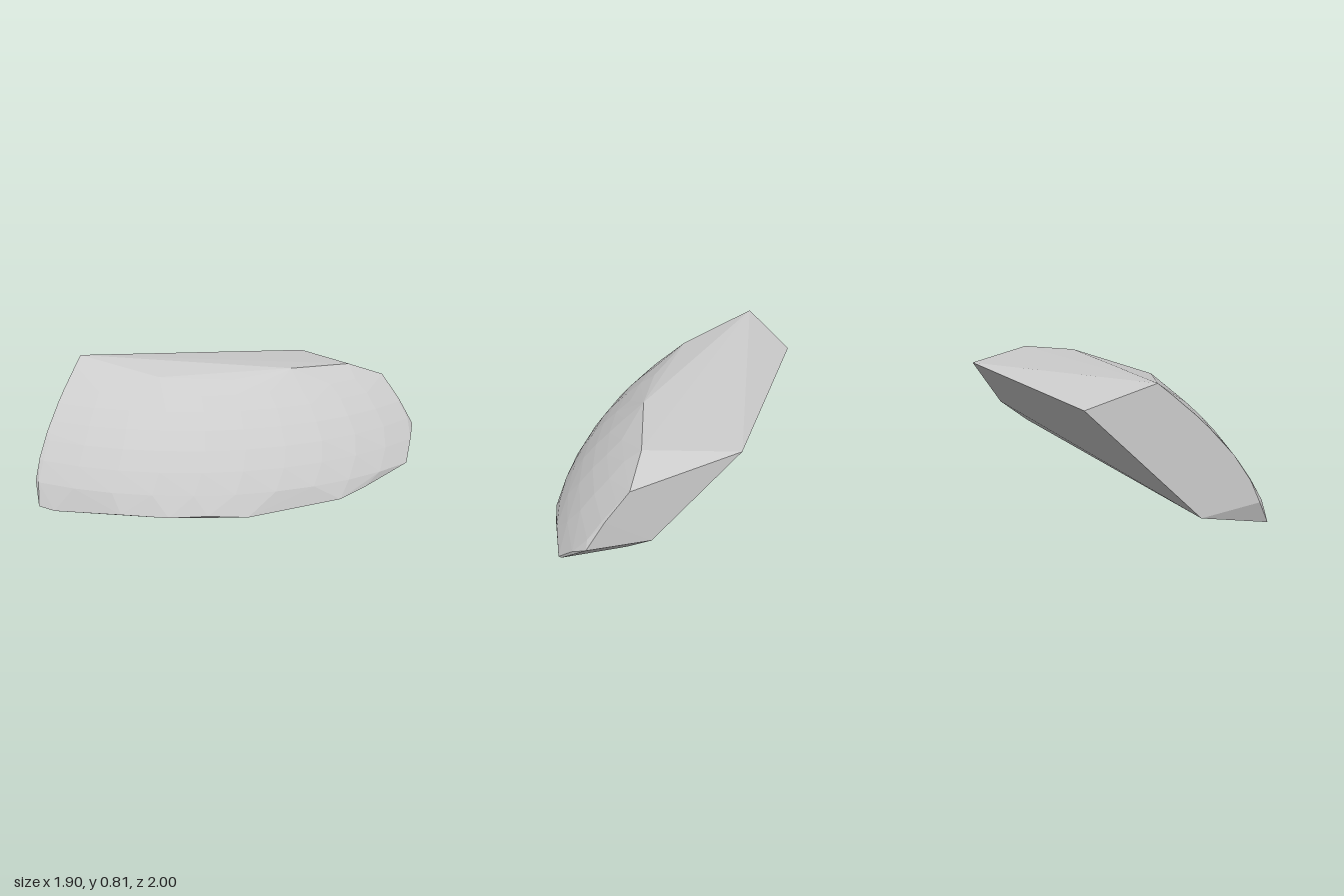
import * as THREE from 'three';
import { ConvexGeometry } from 'three/addons/geometries/ConvexGeometry.js';

// Curved outer wall: part of a flattened ball, as arcs about an upright axis
const AXIS = { x: -1.258, z: -1.224 };
const WALL_ROWS = [[0.15, 12], [0.27, 9], [0.38, 7.5], [0.48, 7.5], [0.57, 7.5], [0.65, 8.5]]; // height, first angle
const ARC_END = 75, ARC_STEPS = 10;

function wallPoints() {
  const points = [];
  for (const [y, arcStart] of WALL_ROWS) {
    const r = Math.sqrt(5.417 - 1.614 * y - 2 * y * y);
    for (let i = 0; i <= ARC_STEPS; i++) {
      const angle = THREE.MathUtils.degToRad(THREE.MathUtils.lerp(arcStart, ARC_END, i / ARC_STEPS));
      points.push([AXIS.x + r * Math.cos(angle), y, AXIS.z + r * Math.sin(angle)]);
    }
  }
  return points;
}

// Flat left end: an upright cut plane, with its outline given as (z, y)
const leftEnd = [
  [0.04, 0.67], [0.41, 0.815], [0.47, 0.765], [0.54, 0.70], [0.61, 0.64], [0.68, 0.57],
  [0.81, 0.42], [0.90, 0.28], [0.955, 0.15], [0.65, 0.06],
].map(([z, y]) => [-0.945 + 0.257 * (z - 0.04), y, z]);

// Edge between the top and the curved wall
const ridge = [[0.47, 0.73, -0.78], [0.285, 0.757, -0.37], [0.07, 0.72, -0.03], [-0.28, 0.74, 0.27]];

// Cut at the back
const backEnd = [
  [-0.03, 0.70, -0.97], [0.62, 0.64, -0.98], [0.76, 0.49, -0.98], [0.87, 0.34, -0.98], [0.51, 0.30, -1.0],
];

// Lower rim of the curved wall
const lowerRim = [
  [0.945, 0.15, -0.77], [0.91, 0.12, -0.58], [0.86, 0.08, -0.38], [0.80, 0.05, -0.19],
  [0.47, 0.02, 0.32], [0.30, 0.04, 0.49], [0.12, 0.03, 0.64], [-0.13, 0.03, 0.79],
  [-0.53, 0.0, 0.97], [-0.64, 0.01, 1.0],
];

// Shallow facets underneath
const underside = [[0.59, 0.15, -0.83], [0.49, 0.05, -0.32], [-0.50, 0.005, 0.55]];

export function createModel() {
  const group = new THREE.Group();
  group.name = 'rockFragment';
  const points = [...wallPoints(), ...leftEnd, ...ridge, ...backEnd, ...lowerRim, ...underside]
    .map((p) => new THREE.Vector3(...p));
  const shard = new THREE.Mesh(
    new ConvexGeometry(points),
    new THREE.MeshStandardMaterial({ color: 0xcccccc, flatShading: true }),
  );
  shard.name = 'shard';
  group.add(shard);
  return group;
}
